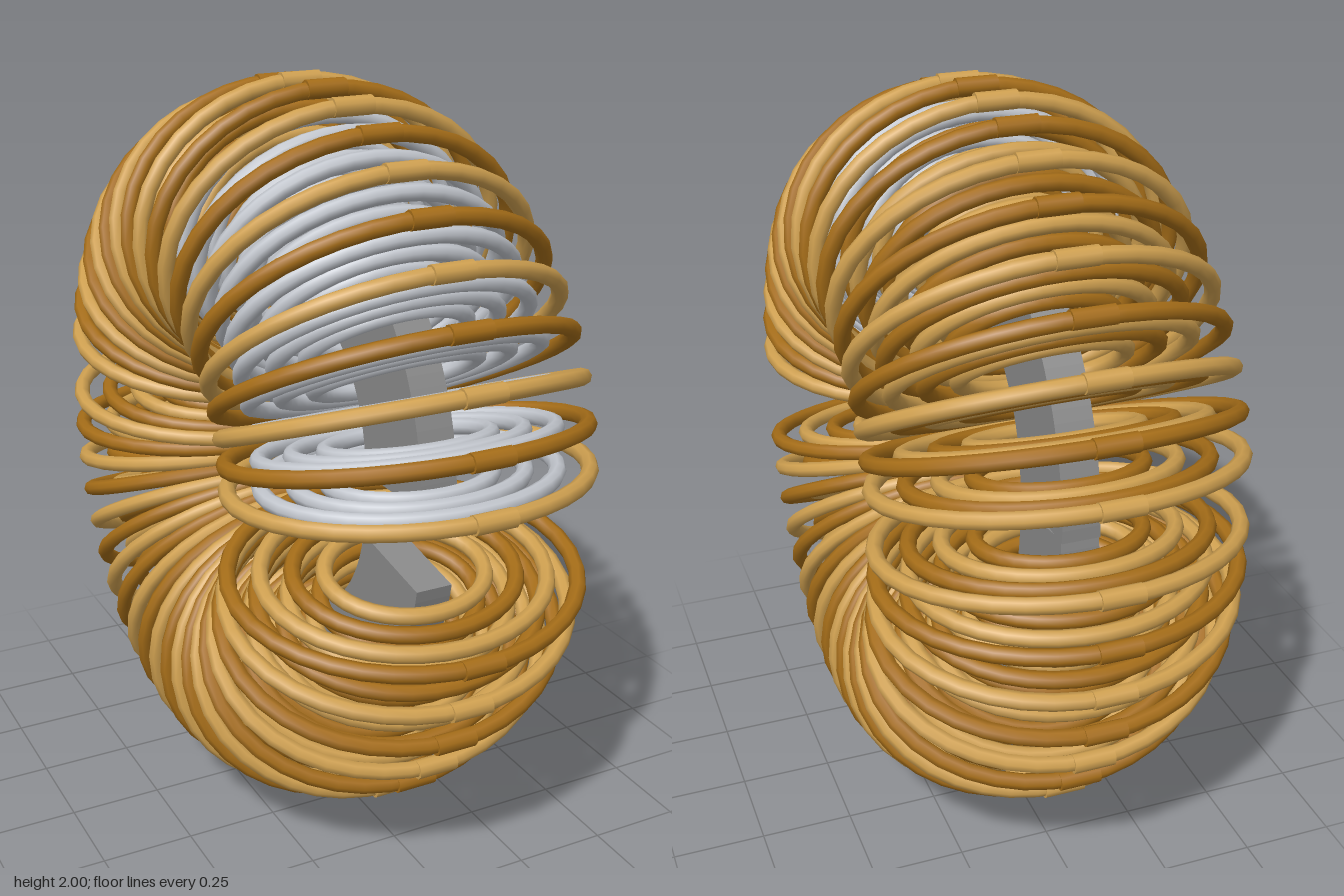
import * as THREE from 'three';

const CORE_RADIUS = 0.54;   // centre line of the curved core
const STEP = 9.06;          // degrees between winding stations
const LAYERS = [1, 0.82, 0.64, 0.46];

const mat = (name, color) => {
  const m = new THREE.MeshStandardMaterial({ color });
  m.name = name;
  return m;
};

// Closed oval wire loop, long across x
class Oval extends THREE.Curve {
  constructor(a, b) { super(); this.a = a; this.b = b; }
  getPoint(t, target = new THREE.Vector3()) {
    const u = t * Math.PI * 2;
    return target.set(this.a * Math.cos(u), this.b * Math.sin(u), 0);
  }
}

// Half ring of rectangular section in the y-z plane
function coreGeometry() {
  const shape = new THREE.Shape();
  shape.absarc(0, 0, 0.68, 0, Math.PI, false);
  shape.absarc(0, 0, 0.4, Math.PI, 0, true);
  const g = new THREE.ExtrudeGeometry(shape, { depth: 0.1, bevelEnabled: false, curveSegments: 32 });
  g.translate(0, 0, -0.05);
  g.rotateY(-Math.PI / 2);
  return g;
}

export function createModel() {
  const model = new THREE.Group();
  model.name = 'splitToroidalCoil';

  const tan = mat('tan wire', 0xcfa050);
  const brown = mat('brown wire', 0xa56d18);
  const silver = mat('silver wire', 0xc3c7ce);
  const gray = mat('gray core', 0x8a8a8a);
  const wires = [tan, brown];

  const loops = LAYERS.map(s =>
    new THREE.TubeGeometry(new Oval(0.468 * s, 0.383 * s), 36, 0.022, 8, true));
  const joint = new THREE.CylinderGeometry(0.025, 0.025, 0.11, 10);
  joint.rotateZ(Math.PI / 2);
  const core = coreGeometry();

  // One flat set of nested loops with a joint at its outer tip
  function station(k, parity, silverInside) {
    const g = new THREE.Group();
    g.name = 'windingStation';
    loops.forEach((geo, i) => {
      const m = silverInside && i > 0 ? silver : wires[(k + i + parity) % 2];
      const loop = new THREE.Mesh(geo, m);
      loop.name = i === 0 ? 'outerLoop' : 'innerLoop';
      loop.position.y = CORE_RADIUS;
      g.add(loop);
    });
    const j = new THREE.Mesh(joint, wires[(k + parity) % 2]);
    j.name = 'wireJoint';
    j.position.y = CORE_RADIUS + 0.383;
    g.add(j);
    return g;
  }

  // A half coil: core plus stations spread along its arc
  function halfCoil(name, y, count, dir, tilt, parity, silverCount) {
    const half = new THREE.Group();
    half.name = name;
    half.position.y = y;
    const c = new THREE.Mesh(core, gray);
    c.name = 'core';
    // the lower core is the upper one turned half way round, plus its tilt
    c.rotation.x = dir > 0 ? 0 : Math.PI + THREE.MathUtils.degToRad(tilt);
    half.add(c);
    for (let k = 0; k < count; k++) {
      const angle = dir * (tilt + 4 + STEP * k);
      const s = station(k, parity, k < silverCount);
      s.rotation.x = THREE.MathUtils.degToRad(90 - angle);
      half.add(s);
    }
    model.add(half);
  }

  halfCoil('upperHalfCoil', 1.053, 19, 1, 0, 0, 10);
  halfCoil('lowerHalfCoil', 0.947, 20, -1, 9.5, 1, 0);
  return model;
}
